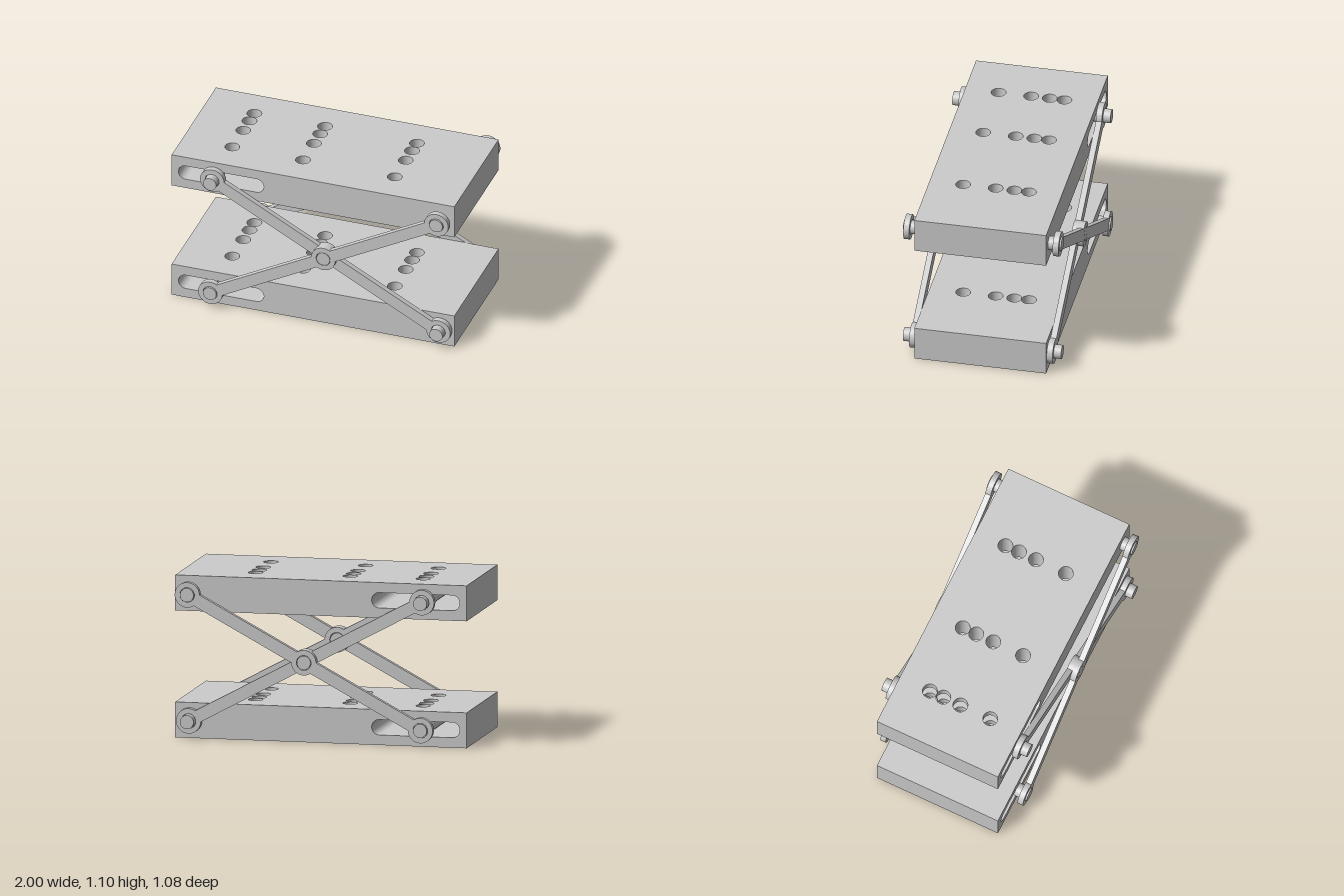
import * as THREE from 'three';
import { mergeGeometries, toCreasedNormals } from 'three/addons/utils/BufferGeometryUtils.js';

const H = 0.24, HALF_X = 1, HALF_Z = 0.45, TOP = 1.1;   // platform size, overall height
const PIN_Y = 0.12, SLOT_R = 0.052, SLOT_A = -0.9, SLOT_B = -0.4;
const HOLE_R = 0.0498, HOLE_X = [-0.65, -0.15, 0.5], HOLE_Z = [-0.227, -0.127, 0, 0.222];
const FIXED_X = 0.9, SLIDE_X = -0.7, MID_X = 0.1, PIN_R = 0.047;
const LAYER = 0.04;                                      // arm thickness

const grey = new THREE.MeshStandardMaterial({ color: 0xcccccc });

function mesh(name, geometry) {
  const m = new THREE.Mesh(geometry, grey);
  m.name = name;
  return m;
}

function rect(x0, y0, x1, y1) {
  return new THREE.Shape([[x0, y0], [x1, y0], [x1, y1], [x0, y1]].map(p => new THREE.Vector2(...p)));
}

function circle(x, y, r) {
  return new THREE.Path().absarc(x, y, r, 0, Math.PI * 2, true);
}

// Horizontal sheet with one row of bolt holes per entry of xs, facing up or down
function sheet(x0, x1, xs, y, up) {
  const shape = rect(x0, -HALF_Z, x1, HALF_Z);
  const s = up ? -1 : 1;
  for (const x of xs) for (const z of HOLE_Z) shape.holes.push(circle(x, s * z, HOLE_R));
  return new THREE.ShapeGeometry(shape, 16).rotateX(s * Math.PI / 2).translate(0, y, 0);
}

// Inward-facing round wall along y (profile runs downwards)
function bore(r, y0, y1, start = 0, length = Math.PI * 2) {
  return new THREE.LatheGeometry([new THREE.Vector2(r, y1), new THREE.Vector2(r, y0)], 32, start, length);
}

function platformGeometry() {
  const low = PIN_Y - SLOT_R, high = PIN_Y + SLOT_R;
  const parts = [
    sheet(-HALF_X, HALF_X, HOLE_X, H, true),
    sheet(-HALF_X, HALF_X, HOLE_X, 0, false),
    // floor and ceiling of the slot
    sheet(SLOT_A, SLOT_B, [HOLE_X[0]], low, true),
    sheet(SLOT_A, SLOT_B, [HOLE_X[0]], high, false),
  ];

  // long sides with the slot opening, and plain ends
  for (const s of [1, -1]) {
    const side = rect(-HALF_X, 0, HALF_X, H);
    const a = s > 0 ? SLOT_A : -SLOT_B, b = s > 0 ? SLOT_B : -SLOT_A;
    const slot = new THREE.Path();
    slot.absarc(b, PIN_Y, SLOT_R, -Math.PI / 2, Math.PI / 2, false);
    slot.absarc(a, PIN_Y, SLOT_R, Math.PI / 2, Math.PI * 1.5, false);
    slot.closePath();
    side.holes.push(slot);
    parts.push(new THREE.ShapeGeometry(side, 16)
      .rotateY(s > 0 ? 0 : Math.PI).translate(0, 0, s * HALF_Z));
    parts.push(new THREE.PlaneGeometry(HALF_Z * 2, H)
      .rotateY(s * Math.PI / 2).translate(s * HALF_X, H / 2, 0));
    // rounded slot end
    parts.push(bore(SLOT_R, -HALF_Z, HALF_Z, s > 0 ? 0 : Math.PI, Math.PI)
      .rotateX(Math.PI / 2).translate(s > 0 ? SLOT_B : SLOT_A, PIN_Y, 0));
  }

  // bolt hole walls; the first row is interrupted by the slot
  HOLE_X.forEach((x, i) => {
    for (const z of HOLE_Z) {
      const spans = i === 0 ? [[0, low], [high, H]] : [[0, H]];
      for (const [y0, y1] of spans) parts.push(bore(HOLE_R, y0, y1).translate(x, 0, z));
    }
  });
  return mergeGeometries(parts);
}

// Flat bar with three pierced round bosses, running along x
function armGeometry() {
  const L = Math.hypot((FIXED_X - SLIDE_X) / 2, TOP / 2 - PIN_Y);
  const R = 0.085, a = Math.asin(0.042 / R), PI = Math.PI;
  const shape = new THREE.Shape();
  shape.absarc(L, 0, R, a - PI, PI - a, false);
  shape.absarc(0, 0, R, a, PI - a, false);
  shape.absarc(-L, 0, R, a, 2 * PI - a, false);
  shape.absarc(0, 0, R, PI + a, 2 * PI - a, false);
  shape.closePath();
  for (const x of [-L, 0, L]) shape.holes.push(circle(x, 0, 0.05));
  const g = new THREE.ExtrudeGeometry(shape, { depth: LAYER, bevelEnabled: false, curveSegments: 24 });
  return toCreasedNormals(g.translate(0, 0, -LAYER / 2), 0.6);
}

function pin(name, x, y, z0, z1) {
  const m = mesh(name, new THREE.CylinderGeometry(PIN_R, PIN_R, z1 - z0, 32).rotateX(Math.PI / 2));
  m.position.set(x, y, (z0 + z1) / 2);
  return m;
}

export function createModel() {
  const model = new THREE.Group();
  model.name = 'scissorLift';

  // platforms
  const slab = platformGeometry();
  const base = mesh('basePlatform', slab);
  const top = mesh('topPlatform', slab);
  top.position.y = TOP - H;
  model.add(base, top);

  // crossed arms and fixed pins on both sides
  const arm = armGeometry();
  const tilt = Math.atan2(TOP / 2 - PIN_Y, (FIXED_X - SLIDE_X) / 2);
  for (const s of [1, -1]) {
    const linkage = new THREE.Group();
    linkage.name = s > 0 ? 'frontLinkage' : 'backLinkage';
    const inner = mesh('innerArm', arm);
    inner.position.set(MID_X, TOP / 2, s * (HALF_Z + LAYER / 2));
    inner.rotation.z = -tilt;
    const outer = mesh('outerArm', arm);
    outer.position.set(MID_X, TOP / 2, s * (HALF_Z + LAYER * 1.5));
    outer.rotation.z = tilt;
    linkage.add(inner, outer);
    const span = end => [s * HALF_Z, s * end].sort((p, q) => p - q);
    linkage.add(pin('centrePin', MID_X, TOP / 2, ...span(0.53)));
    for (const y of [PIN_Y, TOP - PIN_Y]) linkage.add(pin('fixedPin', FIXED_X, y, ...span(0.54)));
    model.add(linkage);
  }

  // sliding shafts through the slots
  for (const y of [PIN_Y, TOP - PIN_Y]) model.add(pin('slidingShaft', SLIDE_X, y, -0.54, 0.54));
  return model;
}
